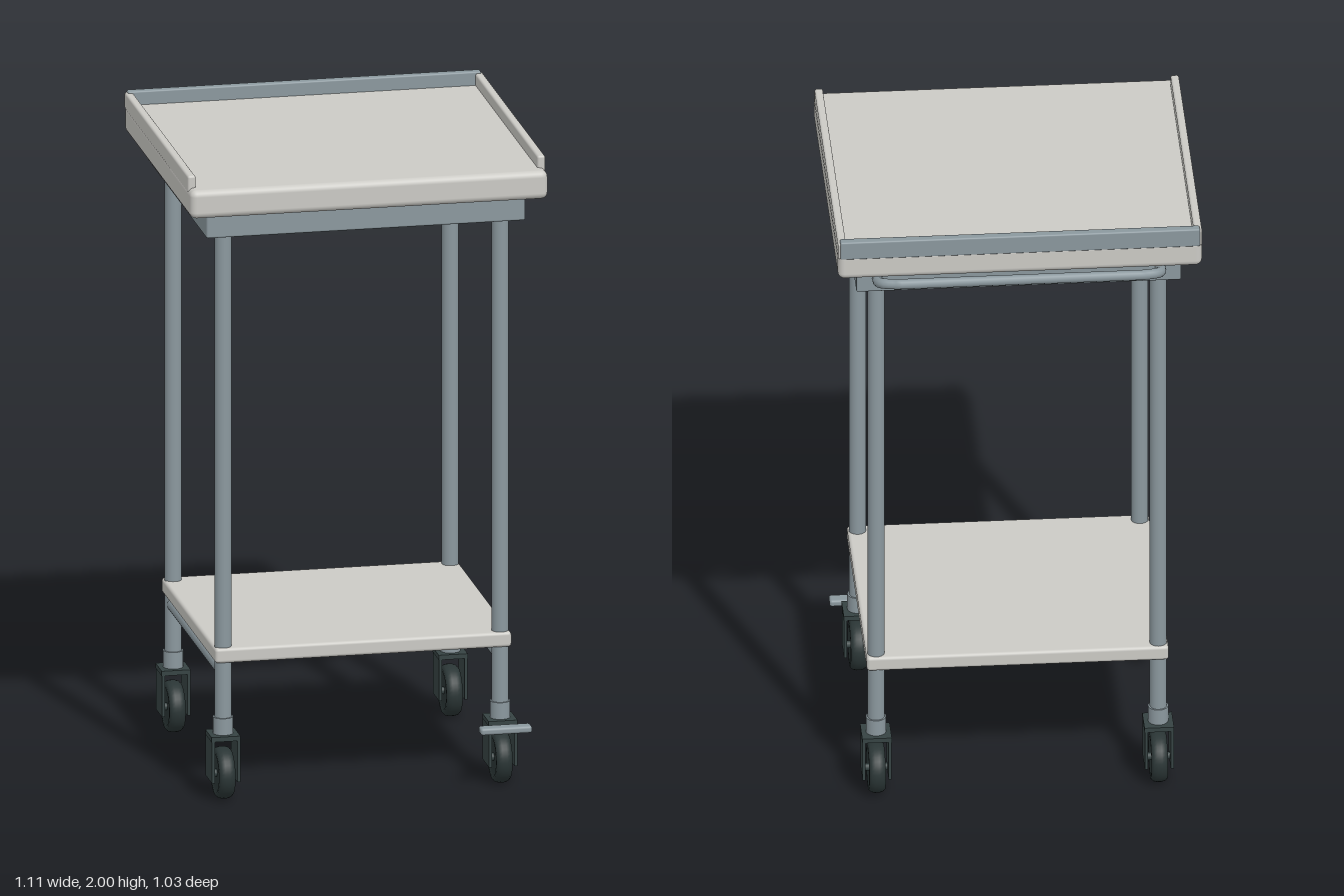
import * as THREE from 'three';
import { RoundedBoxGeometry } from 'three/addons/geometries/RoundedBoxGeometry.js';

const mat = (name, color) => {
  const m = new THREE.MeshStandardMaterial({ color });
  m.name = name;
  return m;
};

export function createModel() {
  const laminate = mat('pale laminate', 0xcbcac5);
  const steel = mat('grey steel', 0x8b989e);
  const fork = mat('dark fork', 0x364343);
  const rubber = mat('black rubber', 0x2a3535);

  const model = new THREE.Group();
  model.name = 'trolley';

  const add = (parent, name, geometry, material, x = 0, y = 0, z = 0) => {
    const mesh = new THREE.Mesh(geometry, material);
    mesh.name = name;
    mesh.position.set(x, y, z);
    parent.add(mesh);
    return mesh;
  };
  // box given by its minimum and maximum corners, optionally rounded
  const block = (parent, name, material, a, b, r = 0) => {
    const s = a.map((v, i) => b[i] - v);
    const c = a.map((v, i) => (b[i] + v) / 2);
    const g = r ? new RoundedBoxGeometry(...s, 3, r) : new THREE.BoxGeometry(...s);
    return add(parent, name, g, material, ...c);
  };

  // work top with its frame and raised rims
  block(model, 'workTop', laminate, [-0.555, 1.868, -0.483], [0.555, 1.957, 0.51], 0.02);
  block(model, 'topFrame', steel, [-0.495, 1.79, -0.425], [0.495, 1.87, 0.455], 0.006);
  block(model, 'backRim', steel, [-0.548, 1.94, -0.485], [0.548, 2.0, -0.457], 0.005);
  for (const s of [-1, 1]) {
    const rim = block(model, s > 0 ? 'leftRim' : 'rightRim', laminate,
      [0.53, 1.94, -0.482], [0.555, 1.994, 0.465], 0.007);
    rim.position.x *= s;
  }

  // push handle, rising slightly away from the frame
  const handlePoints = [
    [-0.43, 1.835, -0.41], [-0.43, 1.845, -0.462], [-0.415, 1.853, -0.486], [-0.375, 1.857, -0.5],
    [0.375, 1.857, -0.5], [0.415, 1.853, -0.486], [0.43, 1.845, -0.462], [0.43, 1.835, -0.41],
  ].map(p => new THREE.Vector3(...p));
  const handlePath = new THREE.CurvePath();
  handlePath.add(new THREE.CatmullRomCurve3(handlePoints.slice(0, 4)));
  handlePath.add(new THREE.LineCurve3(handlePoints[3], handlePoints[4]));
  handlePath.add(new THREE.CatmullRomCurve3(handlePoints.slice(4)));
  add(model, 'pushHandle', new THREE.TubeGeometry(handlePath, 80, 0.016, 12), steel);

  // lower shelf and the bars that carry it
  block(model, 'lowerShelf', laminate, [-0.46, 0.433, -0.388], [0.46, 0.48, 0.42], 0.01);
  const barGeometry = new THREE.CylinderGeometry(0.022, 0.022, 0.74, 20).rotateX(Math.PI / 2);
  for (const x of [-0.43, 0.43]) add(model, 'shelfBar', barGeometry, steel, x, 0.405, 0.016);

  // shared leg and caster geometry
  const legGeometry = new THREE.CylinderGeometry(0.026, 0.026, 1.6, 24);
  const sleeveGeometry = new THREE.CylinderGeometry(0.031, 0.031, 0.055, 24);
  const tyreProfile = [
    [0.001, -0.02], [0.055, -0.02], [0.06, -0.025], [0.07, -0.025], [0.077, -0.018], [0.08, -0.007],
    [0.08, 0.007], [0.077, 0.018], [0.07, 0.025], [0.06, 0.025], [0.055, 0.02], [0.001, 0.02],
  ].map(p => new THREE.Vector2(...p));
  const wheelGeometry = new THREE.LatheGeometry(tyreProfile, 36).rotateZ(Math.PI / 2);
  const axleGeometry = new THREE.CylinderGeometry(0.012, 0.012, 0.088, 16).rotateZ(Math.PI / 2);

  for (const x of [-0.43, 0.43]) {
    for (const z of [-0.355, 0.387]) {
      add(model, 'leg', legGeometry, steel, x, 1.0, z);

      const caster = new THREE.Group();
      caster.name = 'caster';
      caster.position.set(x, 0, z);
      model.add(caster);
      add(caster, 'sleeve', sleeveGeometry, steel, 0, 0.23, 0);
      add(caster, 'wheel', wheelGeometry, rubber, 0, 0.08, 0);
      add(caster, 'axle', axleGeometry, fork, 0, 0.08, 0);
      block(caster, 'forkCrown', fork, [-0.045, 0.19, -0.047], [0.045, 0.205, 0.047]);
      block(caster, 'forkPlate', fork, [-0.044, 0.06, -0.047], [-0.035, 0.195, 0.047]);
      block(caster, 'forkPlate', fork, [0.035, 0.06, -0.047], [0.044, 0.195, 0.047]);

      // foot brake on one front caster
      if (x > 0 && z > 0) {
        block(caster, 'brakeStem', steel, [-0.025, 0.179, 0.0], [0.025, 0.189, 0.07]);
        block(caster, 'brakePedal', steel, [-0.08, 0.177, 0.06], [0.08, 0.199, 0.102], 0.008);
      }
    }
  }
  return model;
}
